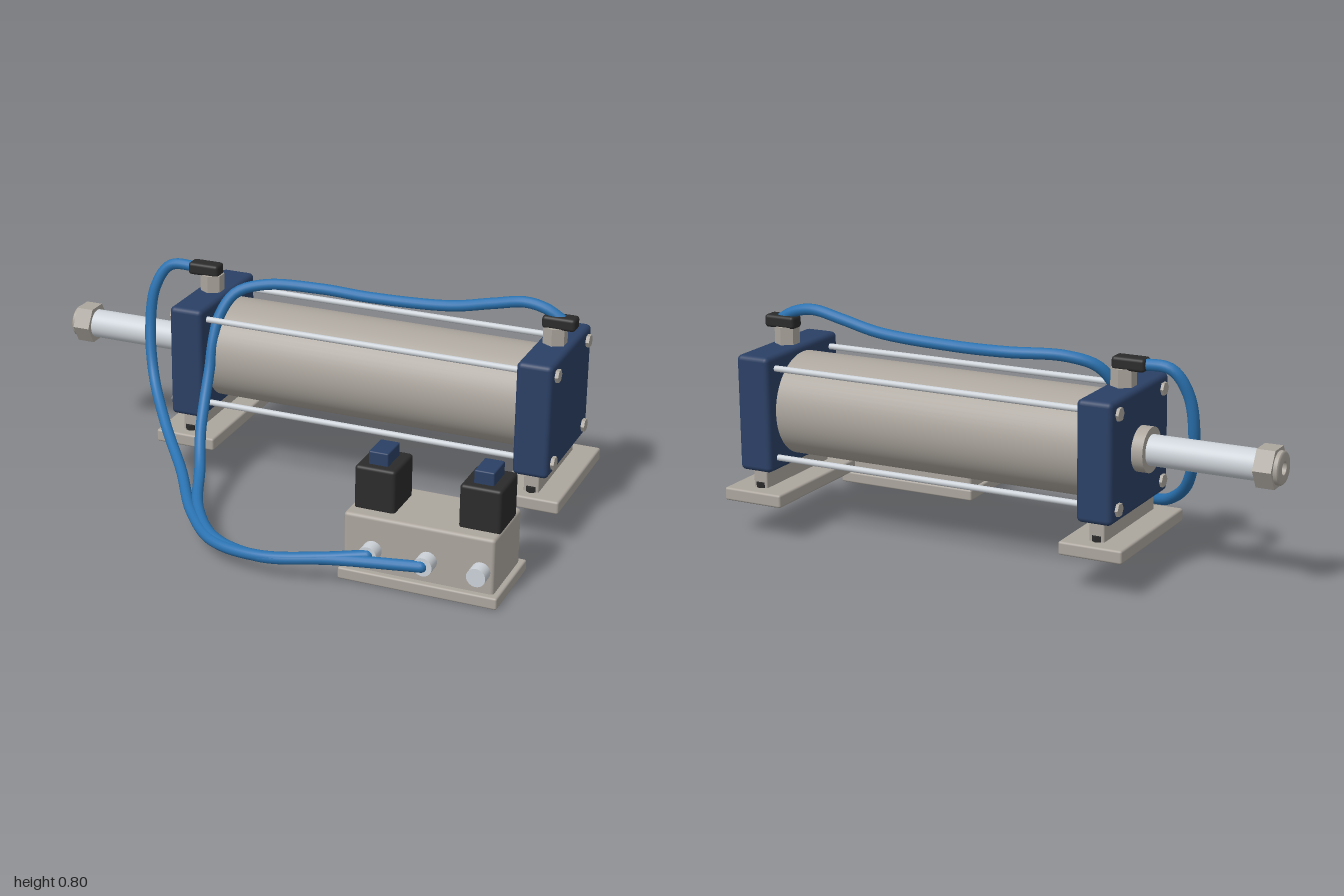
import * as THREE from 'three';
import { RoundedBoxGeometry } from 'three/addons/geometries/RoundedBoxGeometry.js';

const mat = (name, color) => Object.assign(new THREE.MeshStandardMaterial({ color }), { name });

export function createModel() {
  const model = new THREE.Group();
  model.name = 'pneumaticCylinder';
  const grey = mat('warmGrey', 0xaba59d);
  const navy = mat('navyBlue', 0x2b4065);
  const black = mat('black', 0x2b2b2b);
  const chrome = mat('chrome', 0xccd2d8);
  const hoseBlue = mat('hoseBlue', 0x2a72b0);

  const CY = 0.445, CZ = -0.312; // cylinder axis

  const add = (name, geometry, material, x = 0, y = 0, z = 0, parent = model) => {
    const mesh = new THREE.Mesh(geometry, material);
    mesh.name = name;
    mesh.position.set(x, y, z);
    parent.add(mesh);
    return mesh;
  };
  const box = (name, w, h, d, r, material, x, y, z, parent) =>
    add(name, new RoundedBoxGeometry(w, h, d, 3, r), material, x, y, z, parent);
  // Round bar, or hexagon with 6 sides, lying along a chosen axis
  const bar = (name, r, length, axis, material, x, y, z, sides = 32, parent = model) => {
    let g = new THREE.CylinderGeometry(r, r, length, sides);
    if (sides === 6) {
      g = g.toNonIndexed();
      g.computeVertexNormals();
    }
    if (axis === 'x') g.rotateZ(Math.PI / 2);
    if (axis === 'z') g.rotateX(Math.PI / 2);
    return add(name, g, material, x, y, z, parent);
  };

  // Barrel and tie rods
  bar('barrel', 0.184, 1.2, 'x', grey, 0.225, CY, CZ, 64);
  for (const y of [0.284, 0.607]) {
    for (const z of [-0.133, -0.49]) {
      bar('tieRod', 0.011, 1.24, 'x', chrome, 0.225, y, z, 16);
      bar('tieRodNut', 0.024, 0.02, 'x', grey, -0.495, y, z, 6);
      bar('tieRodNut', 0.024, 0.02, 'x', grey, 0.948, y, z, 6);
    }
  }

  // End caps, each with mounting foot, port fitting and elbow
  for (const side of [-1, 1]) {
    const end = new THREE.Group();
    end.name = side < 0 ? 'rodEnd' : 'blindEnd';
    end.position.x = side < 0 ? -0.43 : 0.881;
    model.add(end);
    box('endCap', 0.128, 0.416, 0.46, 0.018, navy, 0, CY, CZ, end);
    box('footPlate', 0.23, 0.047, 0.506, 0.008, grey, 0, 0.148, -0.315, end);
    box('footWeb', 0.055, 0.09, 0.4, 0.005, grey, 0, 0.205, CZ, end);
    for (const z of [-0.117, -0.504]) bar('footBolt', 0.019, 0.02, 'y', black, 0, 0.181, z, 6, end);
    bar('portFitting', 0.044, 0.07, 'y', grey, 0, 0.68, CZ, 6, end);
    box('elbow', 0.12, 0.046, 0.06, 0.012, black, -0.026 + (side > 0 ? 0.042 : 0), 0.732, CZ, end);
    bar('elbowNeck', 0.028, 0.04, 'y', black, 0, 0.71, CZ, 20, end);
  }

  // Piston rod with gland and bored end nut
  bar('rodGland', 0.078, 0.05, 'x', grey, -0.51, CY, CZ, 40);
  bar('pistonRod', 0.053, 0.48, 'x', chrome, -0.7, CY, CZ, 40);
  const hex = new THREE.Shape();
  for (let i = 0; i < 6; i++) {
    const a = i * Math.PI / 3;
    hex[i ? 'lineTo' : 'moveTo'](0.075 * Math.cos(a), 0.075 * Math.sin(a));
  }
  hex.closePath();
  const nut = new THREE.ExtrudeGeometry(hex, { depth: 0.064, bevelEnabled: false });
  nut.rotateY(-Math.PI / 2);
  add('endNut', nut, grey, -0.917, CY, CZ);
  const tip = [[0, 0.03], [0.022, 0.03], [0.022, 0.03], [0.022, 0.078], [0.022, 0.078], [0.024, 0.08],
    [0.051, 0.08], [0.057, 0.074], [0.057, 0.074], [0.057, 0]];
  const tipGeometry = new THREE.LatheGeometry(tip.map(([r, y]) => new THREE.Vector2(r, y)).reverse(), 40);
  tipGeometry.rotateZ(Math.PI / 2);
  const tipMaterial = grey;
  // Profile runs tip to rim, so flip the winding to face outwards
  const index = tipGeometry.index.array;
  const pos = tipGeometry.attributes.position, nor = tipGeometry.attributes.normal;
  const v = (i) => new THREE.Vector3().fromBufferAttribute(pos, i);
  let volume = 0;
  for (let i = 0; i < index.length; i += 3) volume += v(index[i]).dot(v(index[i + 1]).cross(v(index[i + 2])));
  if (volume < 0) {
    for (let i = 0; i < index.length; i += 3) [index[i], index[i + 1]] = [index[i + 1], index[i]];
    for (let i = 0; i < nor.array.length; i++) nor.array[i] *= -1;
  }
  add('rodTip', tipGeometry, tipMaterial, -0.92, CY, CZ);

  // Valve block
  const valve = new THREE.Group();
  valve.name = 'valveBlock';
  model.add(valve);
  box('valveBase', 0.562, 0.042, 0.314, 0.007, grey, 0.674, 0.021, 0.297, valve);
  box('valveBody', 0.53, 0.21, 0.27, 0.012, grey, 0.67, 0.135, 0.296, valve);
  for (const x of [0.493, 0.862]) {
    box('solenoid', 0.145, 0.16, 0.17, 0.012, black, x, 0.312, 0.295, valve);
    box('solenoidPlug', 0.07, 0.06, 0.108, 0.005, navy, x, 0.408, 0.295, valve);
  }
  for (const x of [0.51, 0.705, 0.89]) bar('valvePort', 0.033, 0.06, 'z', chrome, x, 0.12, 0.452, 28, valve);

  // Air hoses
  const hose = (name, points) => {
    const curve = new THREE.CatmullRomCurve3(points.map((p) => new THREE.Vector3(...p)));
    add(name, new THREE.TubeGeometry(curve, 140, 0.02, 14), hoseBlue);
    for (const t of [0, 1]) {
      const p = curve.getPoint(t);
      add('hoseEnd', new THREE.SphereGeometry(0.02, 14, 10), hoseBlue, p.x, p.y, p.z);
    }
  };
  hose('rodEndHose', [
    [-0.48, 0.732, CZ], [-0.6, 0.725, -0.308], [-0.652, 0.64, -0.285], [-0.662, 0.48, -0.255],
    [-0.62, 0.32, -0.195], [-0.5, 0.2, -0.05], [-0.35, 0.125, 0.13], [-0.2, 0.083, 0.35],
    [-0.05, 0.066, 0.49], [0.15, 0.074, 0.54], [0.36, 0.1, 0.515], [0.51, 0.122, 0.48],
  ]);
  hose('blindEndHose', [
    [0.91, 0.735, CZ], [0.85, 0.77, CZ], [0.77, 0.785, CZ], [0.65, 0.762, CZ], [0.5, 0.73, CZ],
    [0.2, 0.715, CZ], [0, 0.718, -0.315], [-0.2, 0.718, -0.275], [-0.3, 0.685, -0.235],
    [-0.343, 0.61, -0.19], [-0.353, 0.52, -0.148], [-0.35, 0.42, -0.11], [-0.342, 0.32, -0.05],
    [-0.322, 0.235, 0.025], [-0.275, 0.145, 0.13], [-0.19, 0.093, 0.32], [-0.05, 0.07, 0.475],
    [0.15, 0.072, 0.54], [0.4, 0.1, 0.512], [0.7, 0.12, 0.48],
  ]);

  return model;
}
